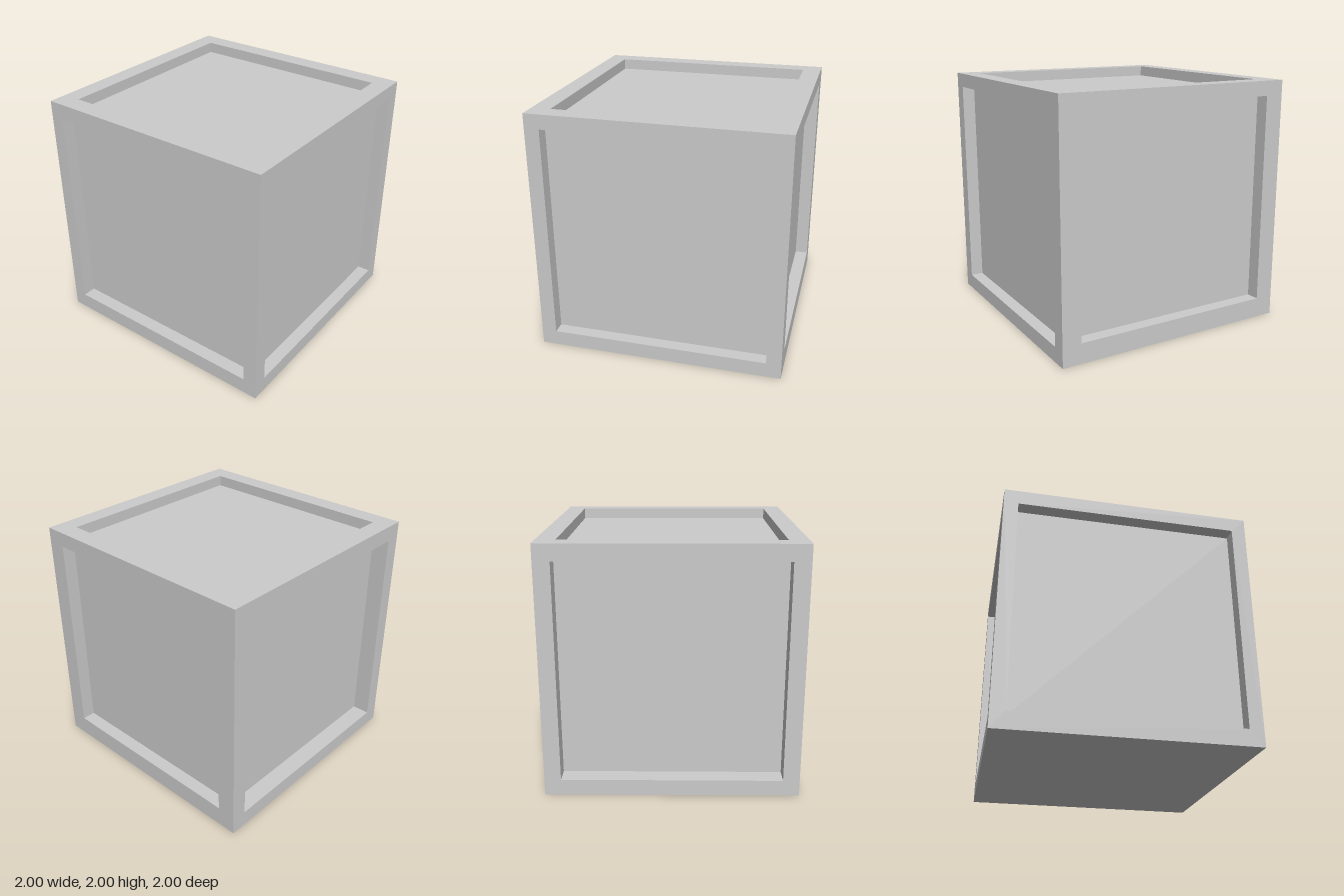
import * as THREE from 'three';

const material = new THREE.MeshStandardMaterial({ color: 0xcccccc, flatShading: true });

// Corners of a rectangle, counter-clockwise when seen from +z
const loop = (halfWidth, bottom, top, z) => [
  [-halfWidth, bottom, z], [halfWidth, bottom, z], [halfWidth, top, z], [-halfWidth, top, z],
];

// One side of the cube facing +z: a rim, four recess walls and a sunken panel
function recessedSide(halfWidth, bottom, top, depth) {
  const loops = [
    loop(1, -1, 1, 1),
    loop(halfWidth, bottom, top, 1),
    loop(halfWidth, bottom, top, 1 - depth),
  ];
  const positions = [];
  const quad = (a, b, c, d) => positions.push(...a, ...b, ...c, ...a, ...c, ...d);
  for (let k = 0; k < 2; k++) {
    for (let i = 0; i < 4; i++) {
      const j = (i + 1) % 4;
      quad(loops[k][i], loops[k][j], loops[k + 1][j], loops[k + 1][i]);
    }
  }
  quad(...loops[2]);
  const geometry = new THREE.BufferGeometry();
  geometry.setAttribute('position', new THREE.Float32BufferAttribute(positions, 3));
  geometry.computeVertexNormals();
  return geometry;
}

export function createModel() {
  const crate = new THREE.Group();
  crate.name = 'crate';

  // name, recess half width, recess bottom and top (from the centre), depth, turn about x and y
  const q = Math.PI / 2;
  const sides = [
    ['frontPanel', 0.88, -0.875, 0.885, 0.105, 0, 0],
    ['backPanel', 0.87, -0.87, 0.87, 0.145, 0, 2 * q],
    ['leftPanel', 0.845, -0.835, 0.88, 0.11, 0, q],
    ['rightPanel', 0.885, -0.865, 0.88, 0.11, 0, -q],
    ['topPanel', 0.847, -0.845, 0.85, 0.09, -q, 0],
  ];
  for (const [name, halfWidth, bottom, top, depth, turnX, turnY] of sides) {
    const side = new THREE.Mesh(recessedSide(halfWidth, bottom, top, depth), material);
    side.name = name;
    side.rotation.set(turnX, turnY, 0);
    side.position.y = 1;
    crate.add(side);
  }

  // Plain underside
  const base = new THREE.Mesh(new THREE.PlaneGeometry(2, 2), material);
  base.name = 'base';
  base.rotation.x = q;
  crate.add(base);

  return crate;
}
